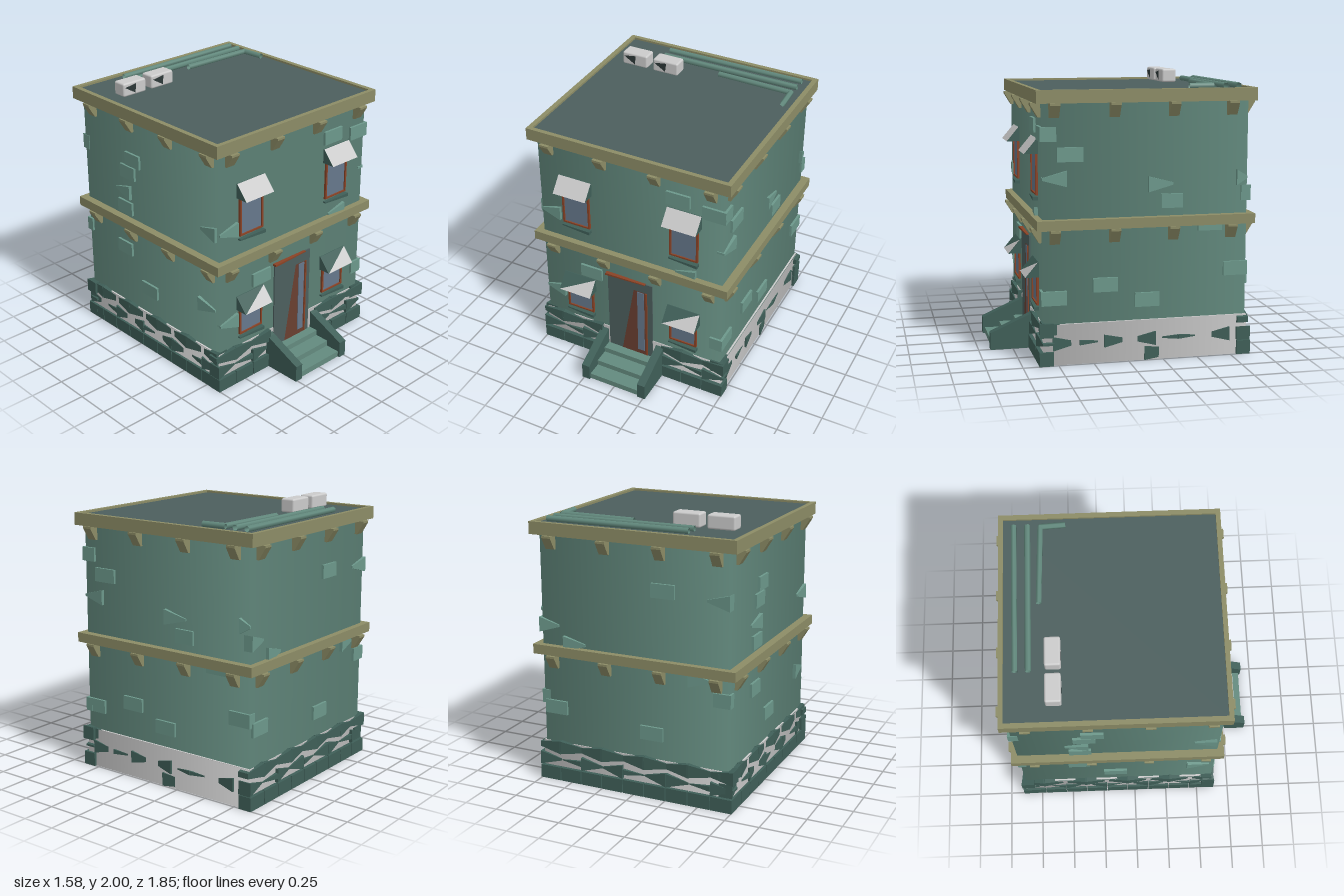
import * as THREE from 'three';
import { RoundedBoxGeometry } from 'three/addons/geometries/RoundedBoxGeometry.js';

const mat = (color) => new THREE.MeshStandardMaterial({ color, side: THREE.DoubleSide });
const M = {
  wall: mat(0x638a7e), brick: mat(0x6c988b), stone: mat(0x3f5f58), trim: mat(0x8c8c66), roof: mat(0x4c5f5e),
  frame: mat(0x8a4326), pane: mat(0x66788c), door: mat(0x6a3f30), dark: mat(0x2c3838), grey: mat(0xcccccc),
};

function add(parent, name, geo, material, x = 0, y = 0, z = 0) {
  const m = new THREE.Mesh(geo, material);
  m.name = name;
  m.position.set(x, y, z);
  parent.add(m);
  return m;
}
const box = (w, h, d) => new THREE.BoxGeometry(w, h, d);

// open four-sided shell whose shading runs softly round the corners
const shell = (w, h, d) =>
  new THREE.CylinderGeometry(Math.SQRT1_2, Math.SQRT1_2, h, 4, 1, true).rotateY(Math.PI / 4).scale(w, 1, d);

// block that shrinks towards one end (dir = 1 narrows at +x, -1 at -x)
function wedge(w, h, d, dir, t = 0.15) {
  const g = box(w, h, d).toNonIndexed(), p = g.attributes.position;
  for (let i = 0; i < p.count; i++) {
    if (p.getX(i) * dir > 0) {
      p.setY(i, p.getY(i) * t);
      p.setZ(i, -d / 2 + (p.getZ(i) + d / 2) * 0.8);
    }
  }
  g.computeVertexNormals();
  return g;
}

// flat polygon facing +z
const poly = (pts) => new THREE.ShapeGeometry(new THREE.Shape(pts.map((p) => new THREE.Vector2(...p))));

// extrude a (depth, height) profile along x, centred
function profileX(pts, width) {
  const s = new THREE.Shape(pts.map((p) => new THREE.Vector2(...p)));
  return new THREE.ExtrudeGeometry(s, { depth: width, bevelEnabled: false })
    .translate(0, 0, -width / 2).rotateY(-Math.PI / 2);
}

export function createModel() {
  const root = new THREE.Group();
  root.name = 'building';
  const CZ = -0.13;

  // body and plinth
  add(root, 'walls', shell(1.44, 1.84, 1.46), M.wall, 0, 0.92, CZ);
  add(root, 'plinth', shell(1.475, 0.29, 1.475), M.grey, 0, 0.145, CZ);
  const ledge = new THREE.Shape([[-0.74, -0.75], [0.74, -0.75], [0.74, 0.75], [-0.74, 0.75]].map((p) => new THREE.Vector2(...p)));
  add(root, 'plinthTop', new THREE.ExtrudeGeometry(Object.assign(ledge, {
    holes: [new THREE.Path([[-0.7, -0.7], [-0.7, 0.7], [0.7, 0.7], [0.7, -0.7]].map((p) => new THREE.Vector2(...p)))],
  }), { depth: 0.004, bevelEnabled: false }).scale(0.99, 0.98, 1).rotateX(-Math.PI / 2), M.grey, 0, 0.286, CZ);

  // cornices and roof
  add(root, 'middleCornice', box(1.555, 0.07, 1.555), M.trim, 0, 0.99, CZ);
  const ring = new THREE.Shape([[-0.778, -0.778], [0.778, -0.778], [0.778, 0.778], [-0.778, 0.778]].map((p) => new THREE.Vector2(...p)));
  ring.holes.push(new THREE.Path([[-0.742, -0.745], [-0.742, 0.745], [0.742, 0.745], [0.742, -0.745]].map((p) => new THREE.Vector2(...p))));
  add(root, 'topCornice', new THREE.ExtrudeGeometry(ring, { depth: 0.09, bevelEnabled: false }).rotateX(-Math.PI / 2), M.trim, 0, 1.82, CZ);
  add(root, 'roof', box(1.49, 0.07, 1.49), M.roof, 0, 1.86, CZ);

  // one group per wall: local x runs along it, local z points outwards
  const face = (name, angle, x, z) => {
    const g = new THREE.Group();
    g.name = name;
    g.rotation.y = angle;
    g.position.set(x, 0, z);
    root.add(g);
    return g;
  };
  const front = face('frontWall', 0, 0, 0.6);
  const left = face('leftWall', Math.PI / 2, 0.72, 0); // local x = -z
  const back = face('backWall', Math.PI, 0, -0.86); // local x = -x
  const right = face('rightWall', -Math.PI / 2, -0.72, 0); // local x = z

  // brackets under both cornices
  const bracket = profileX([[-0.02, -0.1], [0.018, -0.1], [0.07, -0.015], [0.07, 0], [-0.02, 0]], 0.07);
  for (const [wall, mid] of [[front, 0], [back, 0], [left, 0.11], [right, -0.11]])
    for (const y of [0.955, 1.82])
      for (const k of [-1.5, -0.5, 0.5, 1.5]) add(wall, 'bracket', bracket, M.trim, mid + k * 0.42, y, 0);

  // loose bricks: [along, height, width, narrow end (0 = plain block)]
  const bricks = [
    [front, [[0.38, 1.65, 0.18, 0], [0.65, 1.61, 0.175, 0], [-0.325, 0.77, 0.175, 0], [0.69, 0.475, 0.1, 0],
      [-0.64, 0.515, 0.16, -1], [-0.64, 1.23, 0.16, -1], [0.44, 1.03, 0.16, -1]]],
    [left, [[-0.41, 1.47, 0.18, 0], [0.31, 1.13, 0.155, 0], [-0.165, 0.555, 0.175, 0], [0.135, 0.435, 0.175, 0],
      [-0.525, 0.475, 0.175, 0], [0.78, 0.63, 0.175, 0], [0.59, 0.96, 0.175, 0], [-0.56, 1.61, 0.11, 0],
      [-0.52, 1.305, 0.17, -1], [0.23, 1.25, 0.18, 1], [0.82, 1.28, 0.08, 1]]],
    [back, [[0.23, 1.51, 0.175, 0], [0.14, 0.48, 0.175, 0], [-0.62, 0.56, 0.175, 0], [0.67, 0.8, 0.13, 0],
      [-0.46, 1.05, 0.17, 1], [-0.66, 1.17, 0.15, 1], [0.64, 1.48, 0.17, -1], [0.5, 0.92, 0.16, 1]]],
    [right, [[-0.3, 1.5, 0.16, 0], [-0.36, 1.39, 0.16, 0], [-0.42, 1.23, 0.17, -1], [-0.4, 1.1, 0.16, 0],
      [-0.42, 0.76, 0.16, 0], [0.48, 0.63, 0.17, 1], [-0.15, 0.5, 0.175, 0], [0.5, 1.23, 0.16, -1]]],
  ];
  for (const [wall, list] of bricks)
    for (const [u, y, w, dir] of list)
      add(wall, 'brick', dir ? wedge(w, 0.11, 0.07, dir) : box(w, 0.1, 0.06), M.brick, u, y, dir ? -0.01 : -0.012);

  // rough stones round the base: square bottom row, tapered rows above
  const course = (wall, from, to, rows) => {
    const n = Math.round((to - from) / 0.165), w = (to - from) / n;
    for (let i = 0; i < n; i++) {
      const u = from + (i + 0.5) * w, dir = i % 2 ? 1 : -1;
      if (rows[0]) add(wall, 'baseStone', box(w * 0.96, 0.1, 0.1), M.stone, u, 0.05, -0.015);
      if (rows[1]) add(wall, 'middleStone', wedge(w * 0.98, i % 3 == 1 ? 0.04 : 0.1, 0.1, -dir), M.stone, u, 0.155, -0.018);
      if (rows[2]) add(wall, 'upperStone', wedge(w * 1.05, 0.1, 0.1, dir, 0.4), M.stone, u, 0.255, -0.015);
    }
  };
  course(front, -0.76, -0.25, [1, 1, 1]);
  course(front, 0.25, 0.76, [1, 1, 1]);
  course(back, -0.76, 0.76, [1, 1, 1]);
  course(right, -0.88, 0.6, [1, 1, 1]);
  for (const [u, w, h, dir] of [[-0.45, 0.18, 0.1, 1], [-0.26, 0.18, 0.035, 1], [-0.085, 0.18, 0.09, 1],
    [0.105, 0.18, 0.1, -1], [0.28, 0.16, 0.03, -1], [0.45, 0.17, 0.03, 1], [0.65, 0.18, 0.1, -1]])
    add(left, 'middleStone', wedge(w, h, 0.1, dir), M.stone, u, 0.155, -0.018);
  add(left, 'baseStone', wedge(0.17, 0.1, 0.1, 1, 0.6), M.stone, 0.2, 0.05, -0.02);
  add(left, 'cornerStone', wedge(0.17, 0.1, 0.1, 1, 0.6), M.stone, -0.53, 0.255, -0.02);

  // windows with sills and awnings
  const W = 0.13;
  const hood = profileX([[-0.01, 0], [0.09, 0], [0, 0.107], [-0.01, 0.107]], W * 2);
  const slope = (pts) => {
    const g = new THREE.BufferGeometry().setFromPoints(pts.map((p) => new THREE.Vector3(...p)));
    g.computeVertexNormals();
    return g;
  };
  const A = [-W, 0, 0.094], B = [W, 0, 0.094], C = [W, 0.108, 0.003], D = [-W, 0.108, 0.003];
  for (const x of [-0.43, 0.425])
    for (const [y0, h, upper] of [[0.39, 0.2, false], [1.175, 0.285, true]]) {
      const win = new THREE.Group();
      win.name = 'window';
      win.position.set(x, y0, 0);
      front.add(win);
      add(win, 'pane', box(0.2, h, 0.02), M.pane, 0, h / 2, -0.003);
      for (const s of [-1, 1]) add(win, 'frameSide', box(0.014, h, 0.05), M.frame, s * 0.103, h / 2, -0.008);
      add(win, 'frameBottom', box(0.22, 0.012, 0.05), M.frame, 0, 0, -0.008);
      add(win, 'frameTop', box(0.22, 0.012, 0.05), M.frame, 0, h, -0.008);
      add(win, 'sill', wedge(0.23, 0.025, 0.07, -1, 0.4), M.stone, 0, -0.03, 0.003);
      add(win, 'awning', hood, M.stone, 0, h, 0.005);
      add(win, 'awningCover', slope(upper ? [A, B, C, A, C, D] : [A, B, C]), M.grey, 0, h, 0.005);
    }

  // door
  add(front, 'doorPanel', box(0.365, 0.69, 0.02), M.roof, -0.008, 0.47, 0);
  add(front, 'doorLeaf', poly([[-0.08, 0.13], [0.13, 0.13], [0.13, 0.735], [0.025, 0.735]]), M.door, 0, 0, 0.012);
  add(front, 'doorLeafInside', poly([[-0.08, 0.13], [0.13, 0.13], [0.13, 0.735], [0.025, 0.735]]), M.door, 0, 0, -0.012);
  add(front, 'doorGlass', box(0.055, 0.56, 0.01), M.pane, 0.082, 0.45, 0.012);
  add(front, 'doorEdge', box(0.012, 0.6, 0.012), M.frame, 0.128, 0.435, 0.012);
  add(front, 'lintel', wedge(0.32, 0.016, 0.05, 1, 0.4), M.frame, -0.04, 0.815, 0.005);

  // steps and sloping side walls
  [[0.045, 0.9], [0.088, 0.79], [0.13, 0.68]].forEach(([h, z]) =>
    add(root, 'step', box(0.42, h, z - 0.56), M.wall, 0, h / 2, (z + 0.56) / 2));
  const cheek = profileX([[0.58, 0], [0.915, 0], [0.915, 0.125], [0.63, 0.25], [0.58, 0.28]], 0.062);
  for (const s of [-1, 1]) add(root, 'stairSide', cheek, M.stone, s * 0.233, 0, 0);

  // rooftop boxes
  for (const x of [-0.532, -0.277]) {
    add(root, 'roofUnit', new RoundedBoxGeometry(0.205, 0.1, 0.11, 2, 0.014), M.grey, x, 1.95, -0.54);
    add(root, 'roofUnitVent', poly([[-0.09, 0.02], [0.0, -0.035], [0.01, 0.035]]), M.dark, x, 1.95, -0.483);
  }

  // rooftop pipes
  const pipe = (...pts) => {
    const path = new THREE.CurvePath();
    const v = pts.map(([x, z]) => new THREE.Vector3(x, 1.92, z));
    for (let i = 1; i < v.length; i++) path.add(new THREE.LineCurve3(v[i - 1], v[i]));
    add(root, 'pipe', new THREE.TubeGeometry(path, 12, 0.021, 6), M.wall);
  };
  pipe([-0.39, -0.795], [0.69, -0.8]);
  pipe([-0.39, -0.705], [0.69, -0.705]);
  pipe([0.1, -0.63], [0.68, -0.615]);
  pipe([0.675, -0.62], [0.685, -0.44]);
  return root;
}
